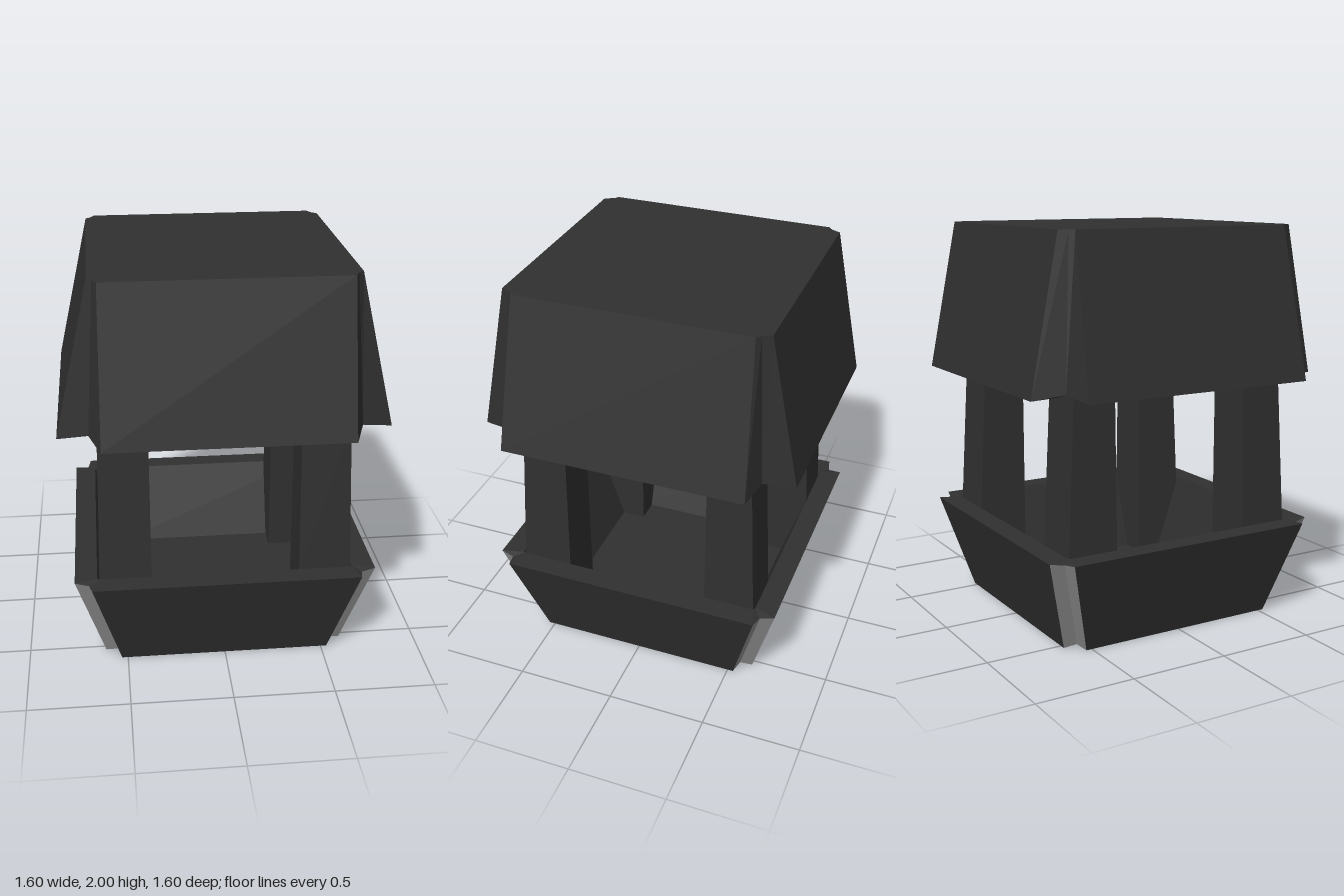
import * as THREE from 'three';

const dark = new THREE.MeshStandardMaterial({ color: 0x303030 });
dark.name = 'charcoal';
const light = new THREE.MeshStandardMaterial({ color: 0x909090 });
light.name = 'light grey';

// Rectangle ring with notched corners, counterclockwise from above.
// X, Z: half sizes; ex, ez: half lengths of the straight edges; n: notch point.
function notchedRing(y, X, Z, ex, ez, n, notchY = y) {
  const ring = [];
  [[1, 1], [1, -1], [-1, -1], [-1, 1]].forEach(([sx, sz], i) => {
    const corner = [[ex, y, Z], [n, notchY, n], [X, y, ez]];
    if (i % 2) corner.reverse();
    corner.forEach(([x, h, z]) => ring.push(new THREE.Vector3(sx * x, h, sz * z)));
  });
  return ring;
}

// Plain rectangle ring, in the same direction
function rectRing(y, xa, xb, za, zb) {
  const x0 = Math.min(xa, xb), x1 = Math.max(xa, xb);
  const z0 = Math.min(za, zb), z1 = Math.max(za, zb);
  return [[x0, z1], [x1, z1], [x1, z0], [x0, z0]].map(([x, z]) => new THREE.Vector3(x, y, z));
}

function facetedMesh(name, points, material) {
  const geometry = new THREE.BufferGeometry().setFromPoints(points);
  geometry.computeVertexNormals();
  const mesh = new THREE.Mesh(geometry, material);
  mesh.name = name;
  return mesh;
}

// Joins rings into a closed shell; isLight(band, isNotch) picks the accent faces
function loft(name, rings, isLight = () => false, accentName = '') {
  const darkPts = [], lightPts = [];
  const count = rings[0].length;
  for (let b = 0; b < rings.length - 1; b++) {
    for (let i = 0; i < count; i++) {
      const j = (i + 1) % count;
      const [p, q, r, s] = [rings[b][i], rings[b][j], rings[b + 1][j], rings[b + 1][i]];
      (isLight(b, i % 3 !== 2) ? lightPts : darkPts).push(p, q, r, p, r, s);
    }
  }
  // End caps: the first faces down, the last faces up
  const first = rings[0], last = rings[rings.length - 1];
  const c0 = new THREE.Vector3(), c1 = new THREE.Vector3();
  for (let i = 0; i < count; i++) {
    c0.addScaledVector(first[i], 1 / count);
    c1.addScaledVector(last[i], 1 / count);
  }
  for (let i = 0; i < count; i++) {
    const j = (i + 1) % count;
    darkPts.push(c0, first[j], first[i], c1, last[i], last[j]);
  }
  const group = new THREE.Group();
  group.name = name;
  group.add(facetedMesh(name + 'Shell', darkPts, dark));
  if (lightPts.length) group.add(facetedMesh(accentName, lightPts, light));
  return group;
}

export function createModel() {
  const model = new THREE.Group();
  model.name = 'lantern';

  // Flared tray: underside, outer rim, inner rim, floor
  model.add(loft('tray', [
    notchedRing(0, 0.61, 0.61, 0.53, 0.53, 0.55, 0.015),
    notchedRing(0.485, 0.75, 0.75, 0.665, 0.665, 0.68, 0.475),
    notchedRing(0.485, 0.64, 0.64, 0.62, 0.62, 0.635),
    notchedRing(0.07, 0.5, 0.5, 0.48, 0.48, 0.495),
  ], (band, notch) => band === 0 && notch, 'trayCornerStrips'));

  // Hollow roof: ceiling, inner rim, outer rim, flat top
  model.add(loft('roof', [
    notchedRing(1.86, 0.56, 0.56, 0.53, 0.53, 0.55),
    notchedRing(1.24, 0.66, 0.66, 0.57, 0.57, 0.62, 1.265),
    notchedRing(1.24, 0.8, 0.8, 0.595, 0.615, 0.65, 1.265),
    notchedRing(2, 0.63, 0.65, 0.585, 0.585, 0.605),
  ], (band, notch) => band === 1 && !notch, 'roofRimUnderside'));

  // Four corner posts, tapering upward and following the tray wall below
  const postLevels = [[0.06, 0.5, 0.5], [0.45, 0.63, 0.63], [1.24, 0.61, 0.59], [1.87, 0.55, 0.55]];
  for (const sx of [1, -1]) {
    for (const sz of [1, -1]) {
      const name = (sz > 0 ? 'front' : 'back') + (sx > 0 ? 'Left' : 'Right') + 'Post';
      model.add(loft(name, postLevels.map(([y, x, z]) =>
        rectRing(y, sx * 0.37, sx * x, sz * 0.37, sz * z))));
    }
  }
  return model;
}
